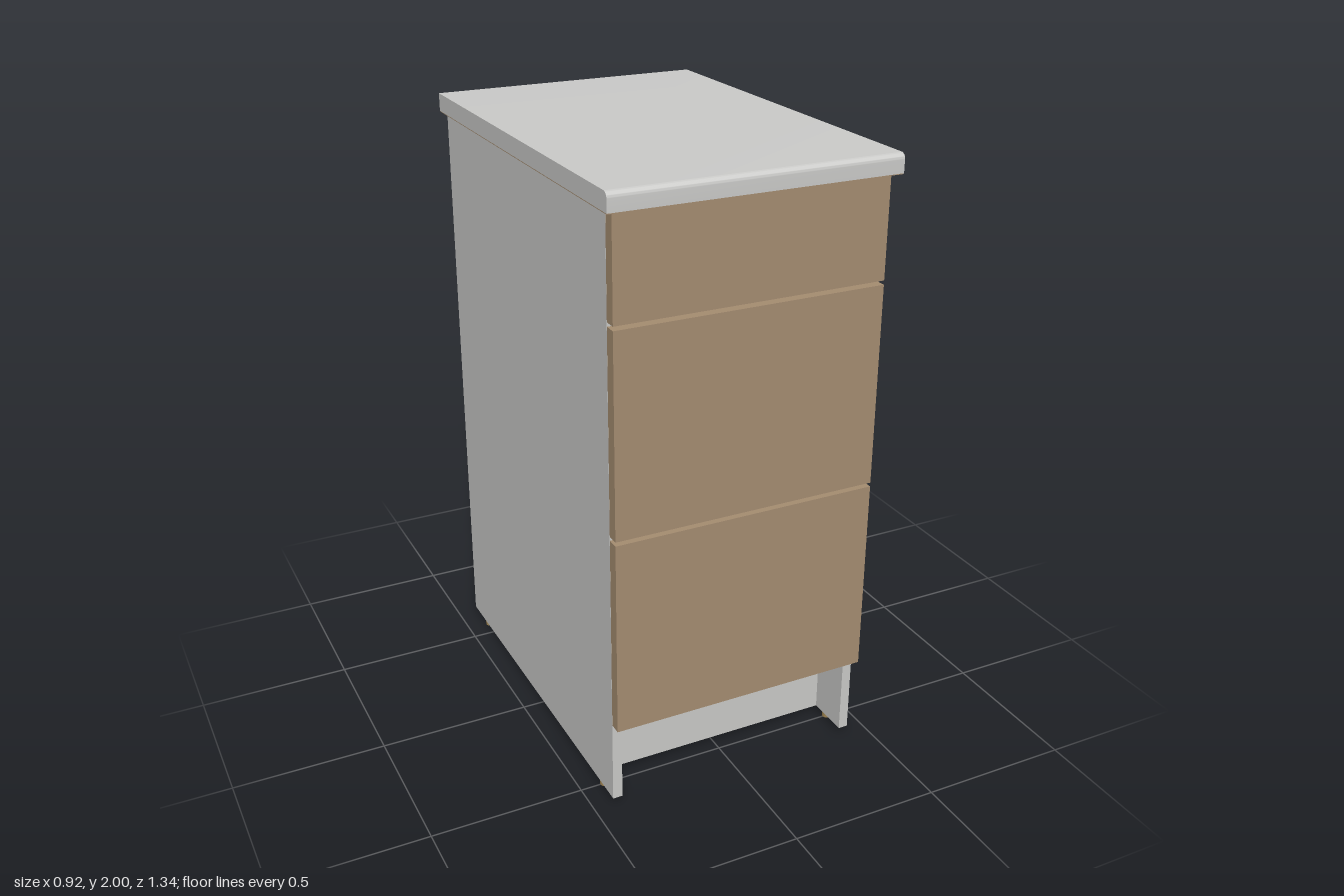
import * as THREE from 'three';
import { toCreasedNormals } from 'three/addons/utils/BufferGeometryUtils.js';

const material = (name, color) => {
  const m = new THREE.MeshStandardMaterial({ color });
  m.name = name;
  return m;
};

export function createModel() {
  const grey = material('grey laminate', 0xc9c9c7);
  const brown = material('brown wood', 0xa48c70);
  const metal = material('foot metal', 0x9a8050);
  const dark = material('dark screw', 0x555553);

  const root = new THREE.Group();
  root.name = 'drawerCabinet';

  // Box given by its minimum and maximum along each axis
  const box = (name, mat, [x0, x1], [y0, y1], [z0, z1], parent = root) => {
    const mesh = new THREE.Mesh(new THREE.BoxGeometry(x1 - x0, y1 - y0, z1 - z0), mat);
    mesh.position.set((x0 + x1) / 2, (y0 + y1) / 2, (z0 + z1) / 2);
    mesh.name = name;
    parent.add(mesh);
    return mesh;
  };
  const span = (s, a, b) => (s > 0 ? [a, b] : [-b, -a]);

  // Worktop with a rounded front edge
  const r = 0.018;
  const profile = new THREE.Shape();
  profile.moveTo(-0.67, 1.942);
  profile.lineTo(0.67, 1.942);
  profile.lineTo(0.67, 2 - r);
  profile.absarc(0.67 - r, 2 - r, r, 0, Math.PI / 2, false);
  profile.lineTo(-0.67, 2);
  profile.closePath();
  let topGeo = new THREE.ExtrudeGeometry(profile, { depth: 0.92, bevelEnabled: false, curveSegments: 6 });
  topGeo.rotateY(-Math.PI / 2).translate(0.46, 0, 0);
  topGeo = toCreasedNormals(topGeo, 0.6);
  const worktop = new THREE.Mesh(topGeo, grey);
  worktop.name = 'worktop';
  root.add(worktop);
  box('worktopUnderside', brown, [-0.459, 0.459], [1.939, 1.943], [-0.669, 0.668]);

  // Carcass: the rear edges of the side panels are bare wood
  const panelMats = [grey, grey, grey, grey, grey, brown];
  for (const s of [1, -1]) {
    box(s > 0 ? 'leftPanel' : 'rightPanel', panelMats, span(s, 0.403, 0.435), [0.02, 1.94], [-0.67, 0.605]);
    for (const z of [0.5, -0.56]) {
      const foot = new THREE.Mesh(new THREE.CylinderGeometry(0.014, 0.014, 0.022, 16), metal);
      foot.position.set(s * 0.419, 0.011, z);
      foot.name = 'foot';
      root.add(foot);
    }
  }
  box('bottomPanel', grey, [-0.403, 0.403], [0.297, 0.329], [-0.65, 0.6]);
  box('backPanel', brown, [-0.415, 0.415], [0.287, 1.38], [-0.671, -0.655]);
  box('plinth', grey, [-0.403, 0.403], [0.02, 0.297], [0.43, 0.46]);
  box('rearStretcher', grey, [-0.403, 0.403], [1.907, 1.939], [-0.65, -0.42]);
  box('frontStretcher', grey, [-0.403, 0.403], [1.907, 1.939], [0.4, 0.6]);

  // Drawers: front y range, then box y range
  const drawers = [
    ['topDrawer', [1.62, 1.935], [1.67, 1.83]],
    ['middleDrawer', [0.96, 1.607], [1.02, 1.365]],
    ['bottomDrawer', [0.3, 0.947], [0.36, 0.72]],
  ];
  for (const [name, front, [y0, y1]] of drawers) {
    const drawer = new THREE.Group();
    drawer.name = name;
    root.add(drawer);
    box('drawerFront', brown, [-0.435, 0.435], front, [0.606, 0.645], drawer);
    box('drawerBottom', [grey, grey, grey, brown, grey, grey], [-0.37, 0.37], [y0, y0 + 0.025], [-0.55, 0.606], drawer);
    box('drawerBack', grey, [-0.37, 0.37], [y0, y1], [-0.57, -0.545], drawer);
    for (const s of [1, -1]) {
      box('drawerSide', grey, span(s, 0.355, 0.375), [y0, y1], [-0.55, 0.606], drawer);
      box('drawerSlide', grey, span(s, 0.375, 0.404), [y0 + 0.01, y0 + 0.06], [-0.55, 0.59], drawer);
      // Rear holding bracket and its screw
      const yb = y0 + 0.06;
      box('bracket', grey, span(s, 0.325, 0.4), [yb, yb + 0.1], [-0.6, -0.592], drawer);
      box('bracketArm', grey, span(s, 0.36, 0.368), [yb, yb + 0.1], [-0.595, -0.57], drawer);
      box('bracketFoot', brown, span(s, 0.375, 0.39), [y0, yb], [-0.59, -0.565], drawer);
      const screw = new THREE.Mesh(new THREE.CylinderGeometry(0.011, 0.011, 0.006, 12), dark);
      screw.rotation.x = Math.PI / 2;
      screw.position.set(s * 0.362, yb + 0.05, -0.602);
      screw.name = 'screw';
      drawer.add(screw);
    }
  }
  return root;
}
